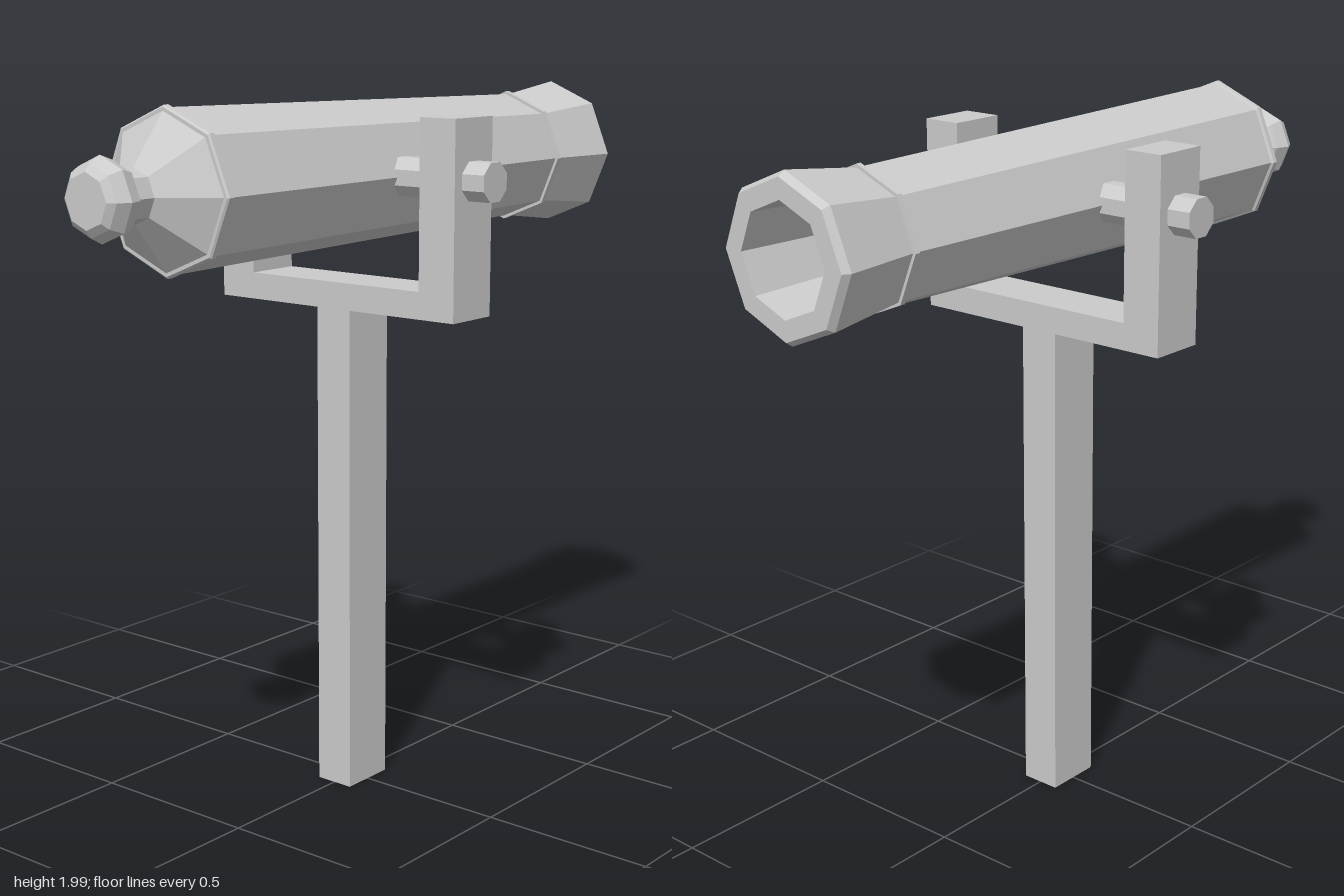
import * as THREE from 'three';

const AXIS_Y = 1.77; // height of the barrel and its pivot

export function createModel() {
  const group = new THREE.Group();
  const material = new THREE.MeshStandardMaterial({ color: 0xcccccc, flatShading: true });
  const add = (name, geometry, x = 0, y = 0, z = 0) => {
    const mesh = new THREE.Mesh(geometry, material);
    mesh.name = name;
    mesh.position.set(x, y, z);
    group.add(mesh);
    return mesh;
  };

  // Octagonal barrel turned around the x axis: [position along x, radius]
  const profile = [
    [-1, 0], [-1, 0.07], [-0.985, 0.09], [-0.95, 0.107], [-0.91, 0.093], [-0.89, 0.07], // rear knob
    [-0.84, 0.07], [-0.735, 0.2],                       // neck and breech cone
    [-0.735, 0.21], [-0.73, 0.215], [-0.715, 0.215], [-0.71, 0.208], // breech ring
    [0.735, 0.183], [0.735, 0.192], [0.75, 0.192], [0.75, 0.183],    // muzzle ring
    [0.98, 0.213], [1, 0.2],                            // flared muzzle
    [1, 0.145], [0.65, 0.127], [0.65, 0],               // hollow bore
  ].map(([x, r]) => new THREE.Vector2(r, x));
  const barrel = new THREE.LatheGeometry(profile, 8);
  barrel.rotateZ(-Math.PI / 2);
  add('barrel', barrel, 0, AXIS_Y);

  // Pivot pins on both sides of the barrel
  for (const side of [-1, 1]) {
    const pin = new THREE.CylinderGeometry(0.056, 0.056, 0.34, 8);
    pin.rotateY(Math.PI / 8);
    pin.rotateX(Math.PI / 2);
    add(side > 0 ? 'leftPivotPin' : 'rightPivotPin', pin, 0, AXIS_Y, side * 0.31);
  }

  // U-shaped yoke
  const outline = [
    [-0.41, 1.4], [0.41, 1.4], [0.41, 1.935], [0.295, 1.935],
    [0.295, 1.475], [-0.295, 1.475], [-0.295, 1.935], [-0.41, 1.935],
  ].map(([z, y]) => new THREE.Vector2(z, y));
  const yoke = new THREE.ExtrudeGeometry(new THREE.Shape(outline), { depth: 0.166, bevelEnabled: false });
  yoke.translate(0, 0, -0.083);
  yoke.rotateY(Math.PI / 2);
  add('yoke', yoke);

  // Support post
  add('post', new THREE.BoxGeometry(0.166, 1.4, 0.116), 0, 0.7, 0);

  return group;
}
